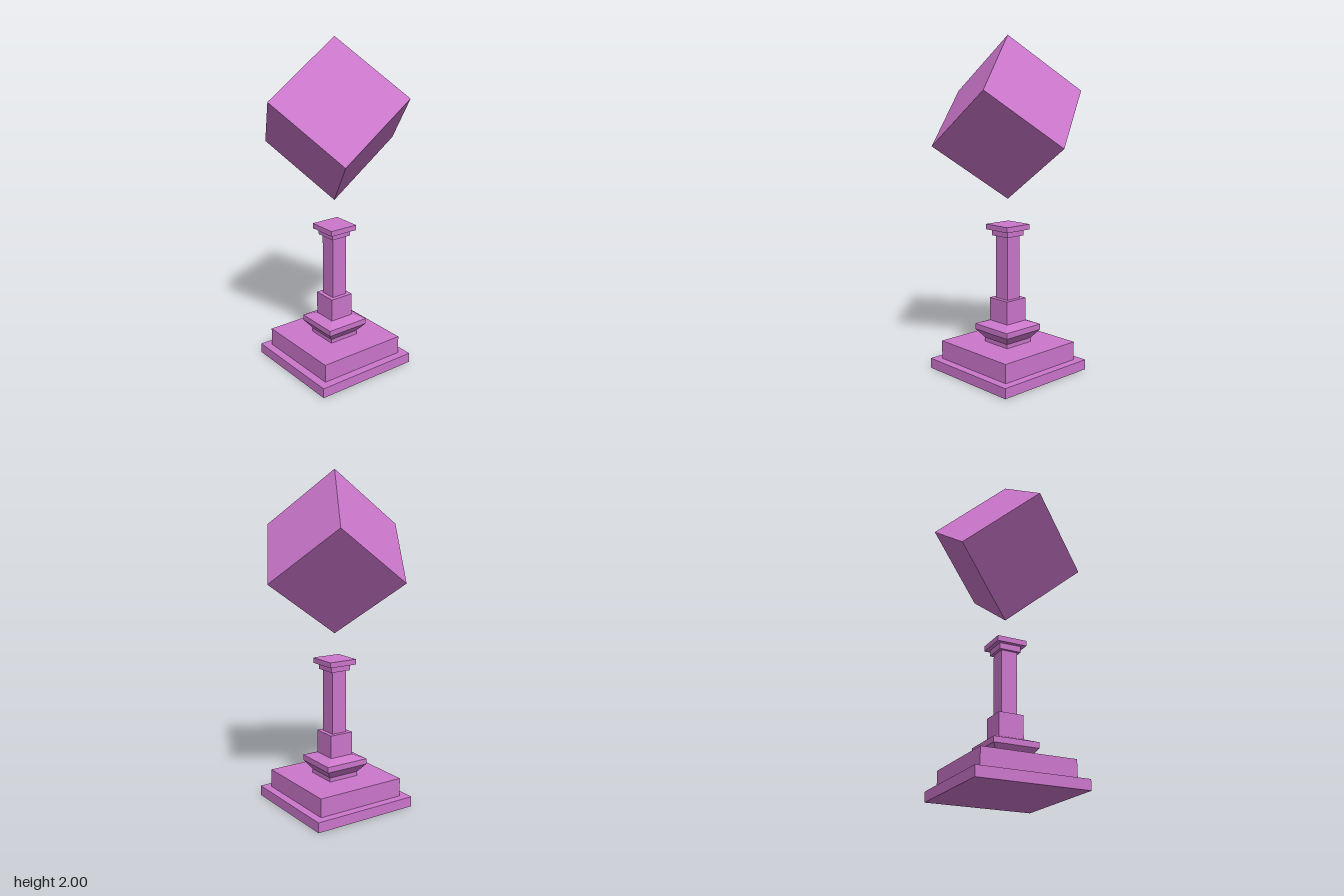
import * as THREE from 'three';

export function createModel() {
  const model = new THREE.Group();
  const material = new THREE.MeshStandardMaterial({ color: 0xcc77cc, flatShading: true });

  // Square pedestal tiers: name, bottom y, top y, bottom half width, top half width
  const tiers = [
    ['basePlinth', 0, 0.061, 0.334, 0.334],
    ['upperPlinth', 0.061, 0.173, 0.284, 0.284],
    ['neck', 0.173, 0.198, 0.098, 0.098],
    ['collarFlare', 0.198, 0.25, 0.098, 0.139],
    ['collarBand', 0.25, 0.284, 0.139, 0.139],
    ['collarBevel', 0.284, 0.308, 0.139, 0.076],
    ['columnFoot', 0.308, 0.448, 0.076, 0.076],
    ['columnShaft', 0.448, 0.83, 0.05, 0.05],
    ['lowerCapital', 0.83, 0.866, 0.067, 0.067],
    ['upperCapital', 0.866, 0.898, 0.092, 0.092],
  ];
  for (const [name, y0, y1, bottom, top] of tiers) {
    // Four-sided cylinder turned so its faces line up with the axes
    const geometry = new THREE.CylinderGeometry(
      top * Math.SQRT2, bottom * Math.SQRT2, y1 - y0, 4, 1, false, Math.PI / 4);
    const tier = new THREE.Mesh(geometry, material);
    tier.name = name;
    tier.position.y = (y0 + y1) / 2;
    model.add(tier);
  }

  // Floating cube standing on one corner, its long diagonal vertical
  const diagonal = 0.95;
  const side = diagonal / Math.sqrt(3);
  const edges = [0, 1, 2].map((i) => {
    const angle = Math.PI + (i * 2 * Math.PI) / 3;
    const reach = Math.sqrt(2 / 3);
    return new THREE.Vector3(Math.cos(angle) * reach, -1 / Math.sqrt(3), Math.sin(angle) * reach);
  });
  const cube = new THREE.Mesh(new THREE.BoxGeometry(side, side, side), material);
  cube.name = 'floatingCube';
  cube.quaternion.setFromRotationMatrix(new THREE.Matrix4().makeBasis(...edges));
  cube.position.y = 2 - diagonal / 2;
  model.add(cube);

  return model;
}
